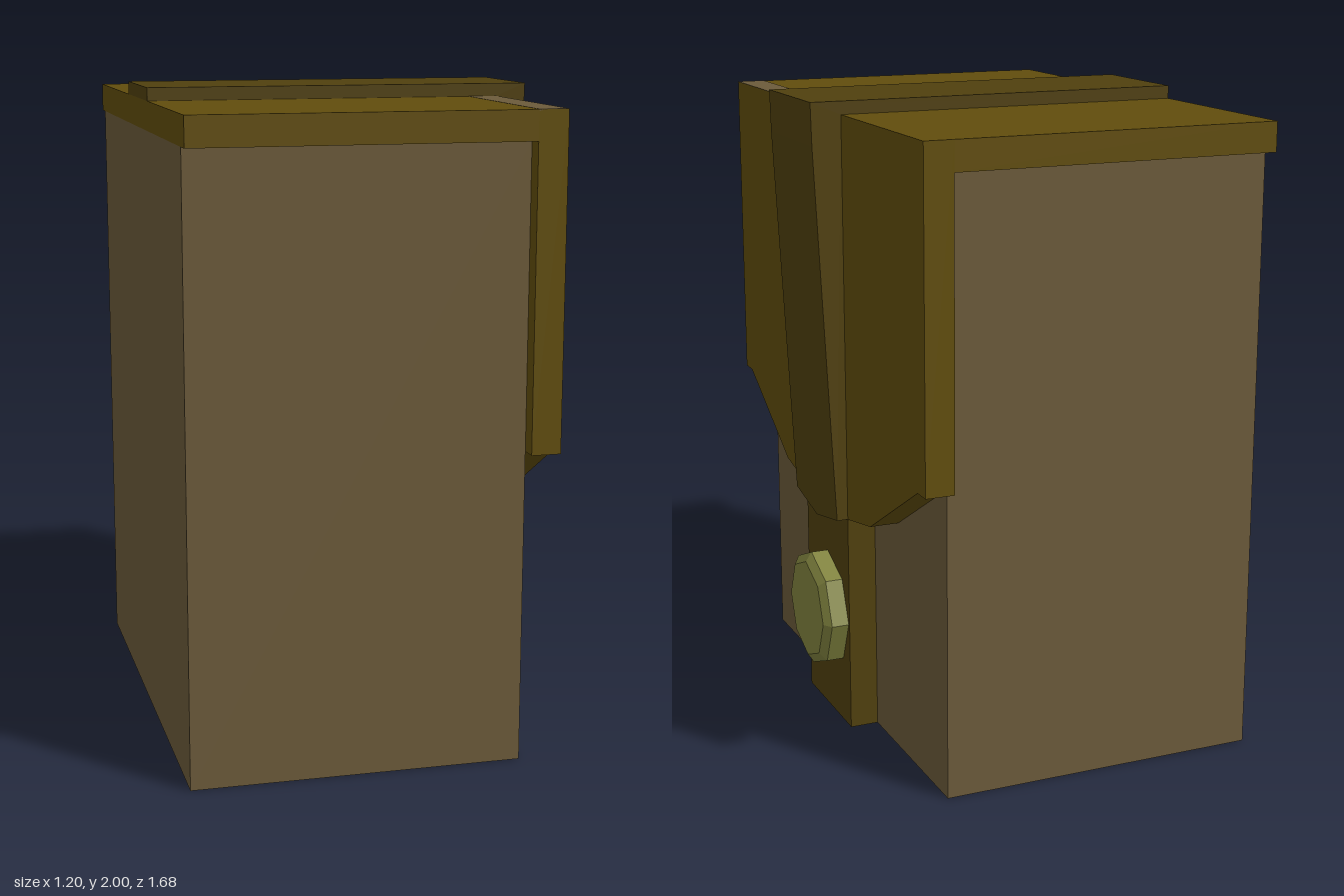
import * as THREE from 'three';

const mat = (color) => new THREE.MeshStandardMaterial({ color, flatShading: true });
const tan = mat(0x6b5a3a);
const leather = mat(0x614d0c);
const strapBrown = mat(0x50400e);
const brass = mat(0x81833f);

export function createModel() {
  const model = new THREE.Group();

  const add = (name, geometry, material) => {
    const mesh = new THREE.Mesh(geometry, material);
    mesh.name = name;
    model.add(mesh);
    return mesh;
  };
  // box given by its lower and upper limits on each axis
  const box = (name, material, [x0, x1], [y0, y1], [z0, z1]) => {
    const g = new THREE.BoxGeometry(x1 - x0, y1 - y0, z1 - z0);
    g.translate((x0 + x1) / 2, (y0 + y1) / 2, (z0 + z1) / 2);
    return add(name, g, material);
  };
  const outline = (pts) => new THREE.Shape(pts.map(([x, y]) => new THREE.Vector2(x, y)));

  // pouch body and lid
  box('body', tan, [-0.6, 0.41], [0, 1.87], [-0.78, 0.785]);
  box('lid', leather, [-0.6, 0.41], [1.87, 1.96], [-0.84, 0.84]);

  // hanging flap with a pointed lower edge
  const half = [[0.84, 1.96], [0.84, 0.96], [0.78, 0.96], [0.395, 0.74]];
  const mirrored = half.map(([z, y]) => [-z, y]).reverse();
  const flap = new THREE.ExtrudeGeometry(outline([...half, [0, 0.665], ...mirrored]), {
    depth: 0.09, bevelEnabled: false,
  });
  flap.rotateY(Math.PI / 2).translate(0.41, 0, 0);
  add('flap', flap, leather);

  // pale trim on one half of the flap's top edge
  box('flapTrim', tan, [0.41, 0.5], [1.955, 1.961], [0.195, 0.84]);

  // strap over the lid, tapering down the flap
  box('lowerStrap', strapBrown, [0.41, 0.5], [0, 0.71], [-0.195, 0.195]);
  const profile = [
    [-0.6, 1.96], [0.5, 1.96], [0.5, 0.665], [0.535, 0.665], [0.592, 1.87], [0.595, 2], [-0.6, 2],
  ];
  const strap = new THREE.ExtrudeGeometry(outline(profile), {
    depth: 0.39, steps: 2, bevelEnabled: false,
  });
  strap.translate(0, 0, -0.195);
  // raise the outer lower corners to follow the flap's point
  const p = strap.attributes.position;
  for (let i = 0; i < p.count; i++) {
    if (p.getY(i) < 0.7 && Math.abs(p.getZ(i)) > 0.1) p.setY(i, 0.702);
  }
  strap.computeVertexNormals();
  add('upperStrap', strap, strapBrown);

  // eight-sided bevelled stud
  const studProfile = [[0, 0], [0.19, 0], [0.19, 0.055], [0.16, 0.075], [0, 0.075]];
  const stud = new THREE.LatheGeometry(studProfile.map(([r, h]) => new THREE.Vector2(r, h)), 8);
  stud.rotateZ(-Math.PI / 2).translate(0.5, 0.348, 0.003);
  add('stud', stud, brass);

  return model;
}
